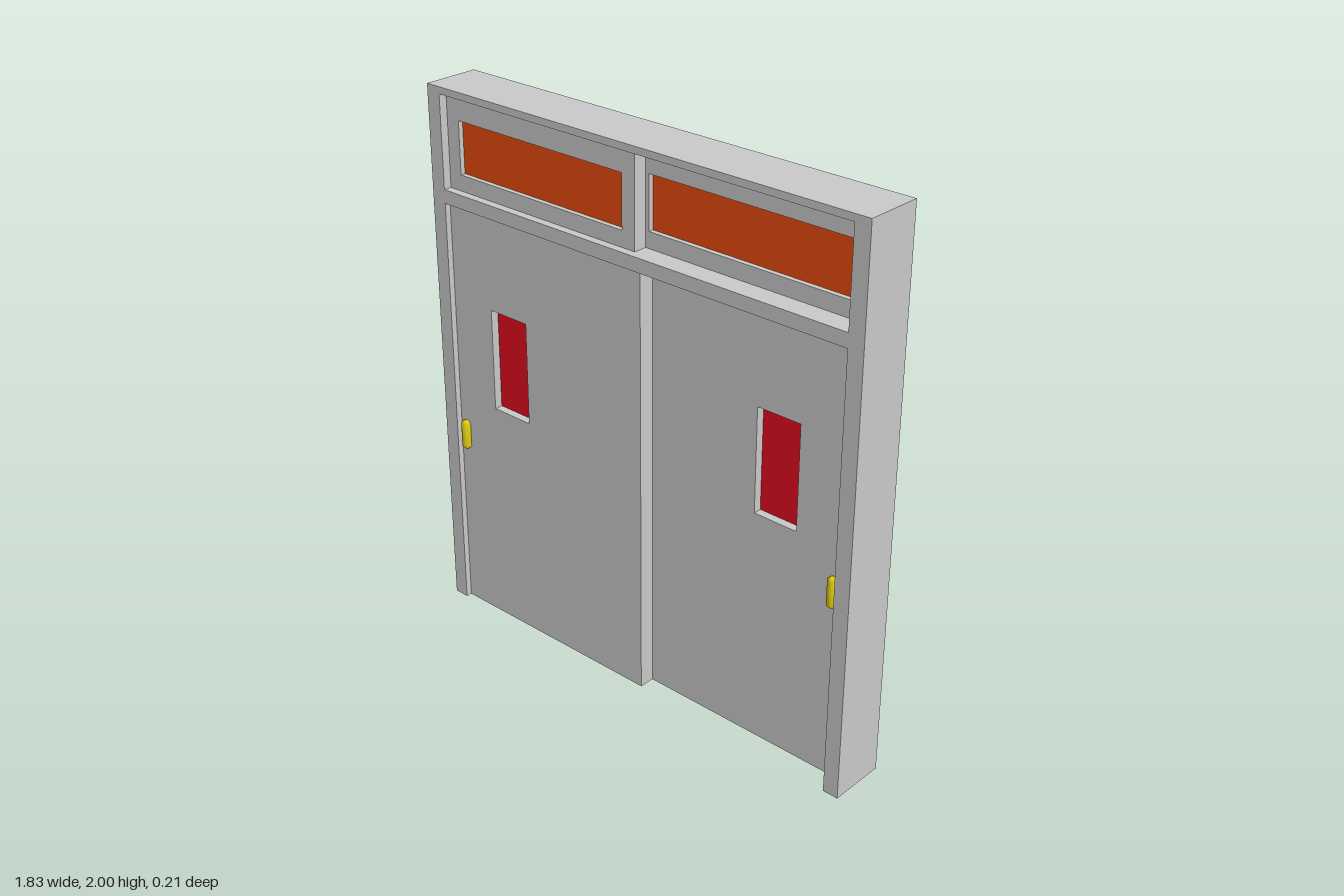
import * as THREE from 'three';

const grey = new THREE.MeshStandardMaterial({ color: 0xcccccc });
const red = new THREE.MeshStandardMaterial({ color: 0xe60c1f });
const orange = new THREE.MeshStandardMaterial({ color: 0xea4c0b });
const yellow = new THREE.MeshStandardMaterial({ color: 0xe6d010 });

function rectPoints(x0, x1, y0, y1) {
  return [[x0, y0], [x1, y0], [x1, y1], [x0, y1]].map(([x, y]) => new THREE.Vector2(x, y));
}

// Flat slab between z0 and z1, with optional rectangular hole
function slab(name, outline, hole, z0, z1) {
  const shape = new THREE.Shape(outline);
  if (hole) shape.holes.push(new THREE.Path(rectPoints(...hole)));
  const geo = new THREE.ExtrudeGeometry(shape, { depth: z1 - z0, bevelEnabled: false });
  const mesh = new THREE.Mesh(geo, grey);
  mesh.position.z = z0;
  mesh.name = name;
  return mesh;
}

function pane(name, [x0, x1, y0, y1], z0, z1, material) {
  const mesh = new THREE.Mesh(new THREE.BoxGeometry(x1 - x0, y1 - y0, z1 - z0), material);
  mesh.position.set((x0 + x1) / 2, (y0 + y1) / 2, (z0 + z1) / 2);
  mesh.name = name;
  return mesh;
}

// Upright grip with chamfered ends
function handle(x, z) {
  const h = 0.056, r = 0.018, c = 0.01;
  const profile = [[0, -h], [r - c, -h], [r, -h + c], [r, h - c], [r - c, h], [0, h]]
    .map(([px, py]) => new THREE.Vector2(px, py));
  const mesh = new THREE.Mesh(new THREE.LatheGeometry(profile, 16), yellow);
  mesh.position.set(x, 0.705, z);
  mesh.name = 'handle';
  return mesh;
}

export function createModel() {
  const model = new THREE.Group();
  model.name = 'slidingDoors';

  // Surround: jambs, head and crossbar, open at the floor
  const W = 0.913, I = 0.855, doorTop = 1.59;
  const outline = [[-W, 0], [-I, 0], [-I, doorTop], [I, doorTop], [I, 0], [W, 0], [W, 2], [-W, 2]]
    .map(([x, y]) => new THREE.Vector2(x, y));
  model.add(slab('frame', outline, [-I, I, 1.64, 1.975], -0.105, 0.105));

  // Two door leaves on separate tracks, overlapping in the middle
  const doors = [
    { name: 'rightDoor', x: [-I, 0.03], glass: [-0.67, -0.5], z: [0.025, 0.083], grip: -0.825 },
    { name: 'leftDoor', x: [-0.06, I], glass: [0.47, 0.64], z: [-0.035, 0.025], grip: 0.795 },
  ];
  for (const d of doors) {
    const leaf = new THREE.Group();
    leaf.name = d.name;
    const hole = [...d.glass, 0.86, 1.24];
    leaf.add(slab('doorPanel', rectPoints(...d.x, 0, doorTop), hole, ...d.z));
    leaf.add(pane('doorWindow', hole, d.z[0] + 0.005, d.z[1] - 0.03, red));
    leaf.add(handle(d.grip, d.z[1] + 0.006));
    model.add(leaf);
  }

  // Two transom sashes, staggered like the doors
  const sashes = [
    { name: 'rightSash', x: [-I, 0], glass: [-0.8, -0.055], z: [0.025, 0.075] },
    { name: 'leftSash', x: [-0.04, I], glass: [0.015, 0.8], z: [-0.02, 0.025] },
  ];
  for (const s of sashes) {
    const sash = new THREE.Group();
    sash.name = s.name;
    const hole = [...s.glass, 1.698, 1.888];
    sash.add(slab('sashFrame', rectPoints(...s.x, 1.64, 1.975), hole, ...s.z));
    sash.add(pane('transomGlass', hole, s.z[0] + 0.015, s.z[1] - 0.018, orange));
    model.add(sash);
  }
  return model;
}
